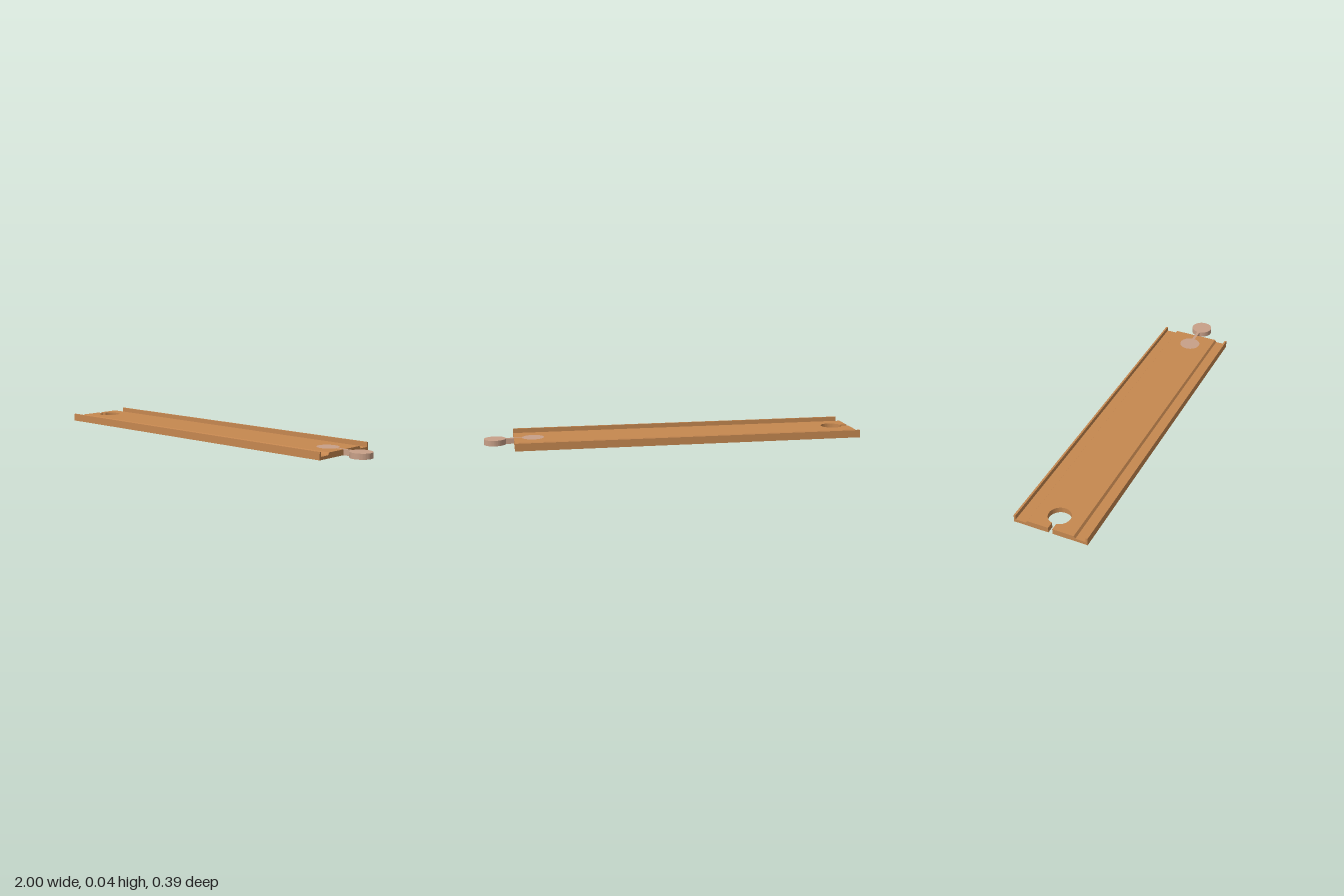
import * as THREE from 'three';
import { toCreasedNormals } from 'three/addons/utils/BufferGeometryUtils.js';

const LEFT_END = -1, RIGHT_END = 0.845;
const DECK_HALF = 0.123, DECK_TOP = 0.029;
const R = 0.057;                       // peg and socket radius
const PEG_IN = 0.745, PEG_OUT = 0.943, SOCKET = -0.905;
const NECK = 0.008, SLOT = 0.011;      // half widths

export function createModel() {
  const model = new THREE.Group();
  const wood = new THREE.MeshStandardMaterial({ color: 0xc68850 });
  wood.name = 'wood';
  const pegWood = new THREE.MeshStandardMaterial({ color: 0xc8a088 });
  pegWood.name = 'pale peg wood';

  const add = (name, geometry, material) => {
    const mesh = new THREE.Mesh(toCreasedNormals(geometry, 0.5), material);
    mesh.name = name;
    model.add(mesh);
  };
  // Raise a plan outline to deck height
  const raise = (shape) =>
    new THREE.ExtrudeGeometry(shape, { depth: DECK_TOP, bevelEnabled: false, curveSegments: 40 })
      .rotateX(-Math.PI / 2);

  const a = Math.asin(NECK / R), b = Math.PI - Math.asin(SLOT / R);

  // Middle deck: open keyhole socket at one end, pocket for the peg at the other
  const deck = new THREE.Shape();
  deck.moveTo(LEFT_END, -DECK_HALF);
  deck.lineTo(RIGHT_END, -DECK_HALF);
  deck.lineTo(RIGHT_END, -NECK);
  deck.absarc(PEG_IN, 0, R, -a, a, true);
  deck.lineTo(RIGHT_END, NECK);
  deck.lineTo(RIGHT_END, DECK_HALF);
  deck.lineTo(LEFT_END, DECK_HALF);
  deck.lineTo(LEFT_END, SLOT);
  deck.absarc(SOCKET, 0, R, b, -b, true);
  deck.lineTo(LEFT_END, -SLOT);
  add('deck', raise(deck), wood);

  // Side channels: sloped deck edge, groove floor and outer lip
  const profile = [[DECK_HALF, 0], [0.195, 0], [0.195, 0.04], [0.185, 0.04],
    [0.185, 0.016], [0.131, 0.016], [DECK_HALF, DECK_TOP]];
  for (const [name, side] of [['frontChannel', 1], ['backChannel', -1]]) {
    const section = new THREE.Shape(profile.map(([z, y]) => new THREE.Vector2(side * z, y)));
    const geometry = new THREE.ExtrudeGeometry(section, { depth: RIGHT_END - LEFT_END, bevelEnabled: false });
    add(name, geometry.rotateY(-Math.PI / 2).translate(RIGHT_END, 0, 0), wood);
  }

  // Dumbbell connector: embedded disc, neck and projecting disc
  const peg = new THREE.Shape();
  peg.absarc(PEG_IN, 0, R, a, 2 * Math.PI - a, false);
  peg.absarc(PEG_OUT, 0, R, Math.PI + a, 3 * Math.PI - a, false);
  peg.closePath();
  add('connectorPeg', raise(peg), pegWood);

  return model;
}
